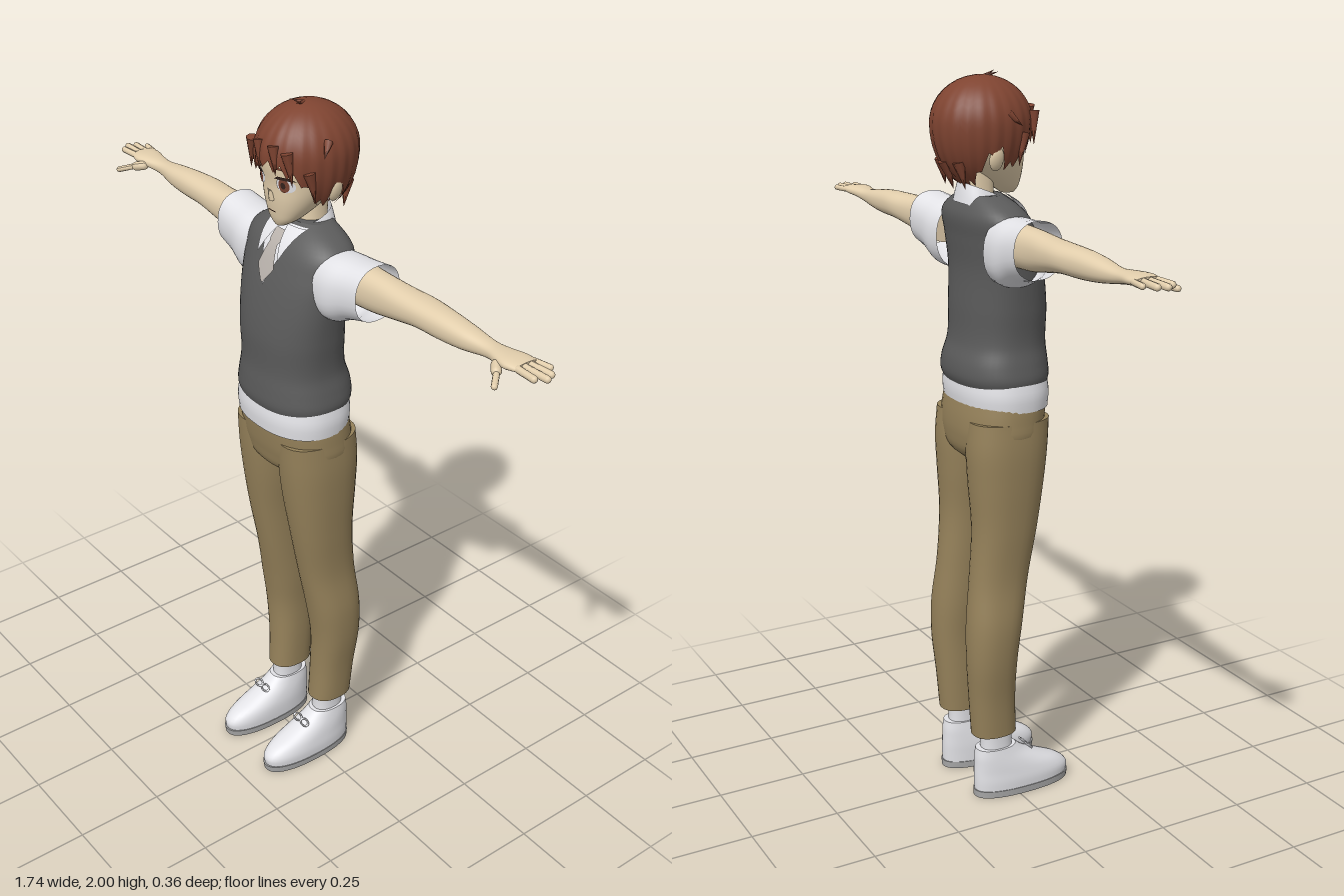
import * as THREE from 'three';

const mat = (name, color, side = THREE.FrontSide) => {
  const m = new THREE.MeshStandardMaterial({ color, side });
  m.name = name;
  return m;
};

// Body sections: [y, half width, front z, back z, centre x], smoothed along y
const POWER = 2.3;
function profile(sections) {
  const curve = new THREE.CubicInterpolant(sections.map(s => s[0]),
    sections.flatMap(s => [s[1], s[2], s[3], s[4] || 0]), 4);
  return {
    y0: sections[0][0], y1: sections[sections.length - 1][0],
    at: y => Array.from(curve.evaluate(y)),
    front(x, y) {
      const [rx, zf, zb, cx] = this.at(y);
      const u = Math.min(1, Math.abs((x - cx) / rx));
      return (zf + zb) / 2 + (zf - zb) / 2 * Math.pow(1 - Math.pow(u, POWER), 1 / POWER);
    },
  };
}

function indexed(pos, idx) {
  const g = new THREE.BufferGeometry();
  g.setAttribute('position', new THREE.Float32BufferAttribute(pos, 3));
  g.setIndex(idx);
  g.computeVertexNormals();
  return g;
}

// Skin a profile with rounded rings, optionally closing both ends
function loft(p, rows = 24, caps = true, n = 32) {
  const pos = [], idx = [];
  const bend = v => Math.sign(v) * Math.pow(Math.abs(v), 2 / POWER);
  for (let i = 0; i <= rows; i++) {
    const y = p.y0 + (p.y1 - p.y0) * i / rows;
    const [rx, zf, zb, cx] = p.at(y);
    for (let j = 0; j < n; j++) {
      const a = j / n * Math.PI * 2;
      pos.push(cx + rx * bend(Math.sin(a)), y, (zf + zb) / 2 + (zf - zb) / 2 * bend(Math.cos(a)));
      if (i < rows) {
        const k = i * n, j2 = (j + 1) % n;
        idx.push(k + j, k + j2, k + n + j2, k + j, k + n + j2, k + n + j);
      }
    }
  }
  if (caps) for (const [row, y] of [[0, p.y0], [rows, p.y1]]) {
    const [, zf, zb, cx] = p.at(y), base = pos.length / 3;
    pos.push(cx, y, (zf + zb) / 2);
    const ring = pos.slice(row * n * 3, (row + 1) * n * 3);
    pos.push(...ring);
    for (let j = 0; j < n; j++) {
      const a = base + 1 + j, b = base + 1 + (j + 1) % n;
      idx.push(base, ...(row ? [a, b] : [b, a]));
    }
  }
  return indexed(pos, idx);
}

// Thin patch lying on the front of a profile, between two side edges
function patch(p, off, y0, y1, xa, xb, n = 10) {
  const pos = [], idx = [];
  for (let i = 0; i <= n; i++) for (let j = 0; j <= n; j++) {
    const t = i / n, y = y0 + (y1 - y0) * t, x = xa(t) + (xb(t) - xa(t)) * j / n;
    pos.push(x, y, p.front(x, y) + off);
    if (i < n && j < n) {
      const k = i * (n + 1) + j;
      idx.push(k, k + 1, k + n + 2, k, k + n + 2, k + n + 1);
    }
  }
  return indexed(pos, idx);
}
const oval = (p, off, x, y, rx, ry) => {
  const w = t => rx * Math.sqrt(Math.max(0, 1 - (2 * t - 1) ** 2));
  return patch(p, off, y - ry, y + ry, t => x - w(t), t => x + w(t));
};

function mirrored(g) {
  const m = g.clone().scale(-1, 1, 1);
  const a = m.index.array;
  for (let i = 0; i < a.length; i += 3) [a[i], a[i + 1]] = [a[i + 1], a[i]];
  m.computeVertexNormals();
  return m;
}

// Capsule or cone laid from one point to another
function between(geo, a, b) {
  const A = new THREE.Vector3(...a), B = new THREE.Vector3(...b);
  const q = new THREE.Quaternion().setFromUnitVectors(new THREE.Vector3(0, 1, 0), B.clone().sub(A).normalize());
  const c = A.add(B).multiplyScalar(0.5);
  return geo.applyQuaternion(q).translate(c.x, c.y, c.z);
}
const dist = (a, b) => Math.hypot(a[0] - b[0], a[1] - b[1], a[2] - b[2]);

// Hair shell with a jagged lower edge that clears the face and ears
function hairShell() {
  const edge = new THREE.LinearInterpolant([0, 0.5, 0.9, 1.2, 1.42, 1.58, 1.85, 2.2, 3.15],
    [1.872, 1.852, 1.825, 1.775, 1.77, 1.815, 1.80, 1.745, 1.72], 1);
  const cols = 132, rows = 16, pos = [], idx = [];
  for (let i = 0; i <= rows; i++) for (let j = 0; j < cols; j++) {
    const a = j / cols * Math.PI * 2, s = Math.min(a, Math.PI * 2 - a);
    const tooth = Math.abs(((j / 6) % 1) * 2 - 1);
    const yEnd = edge.evaluate(s)[0] - 0.022 * tooth + 0.008 * Math.sin(a * 3);
    const c = yEnd - 1.87;
    const phi = Math.acos(Math.max(-0.95, c / (c > 0 ? 0.12 : 0.17))) * i / rows;
    const h = Math.cos(phi), r = Math.sin(phi) * (1 + 0.03 * (tooth - 0.5) * i / rows);
    pos.push(0.123 * r * Math.sin(a), 1.87 + h * (h > 0 ? 0.12 : 0.17), -0.04 + 0.135 * r * Math.cos(a));
    if (i < rows) {
      const k = i * cols, j2 = (j + 1) % cols;
      idx.push(k + j, k + cols + j, k + cols + j2, k + j, k + cols + j2, k + j2);
    }
  }
  return indexed(pos, idx);
}

export function createModel() {
  const D = THREE.DoubleSide;
  const skin = mat('skin', 0xe2ceac), hair = mat('hair', 0x7f4431, D), vest = mat('vest', 0x5b5b5b),
    shirt = mat('white cloth', 0xe9e9ed, D), trousers = mat('trousers', 0x95815a), tie = mat('tie', 0xb9b2ac, D),
    sole = mat('sole', 0xa8a8a8), iris = mat('iris', 0x7a4432, D), dark = mat('lashes', 0x35231d, D);
  const model = new THREE.Group();
  model.name = 'student';
  const add = (name, geo, m) => {
    const mesh = new THREE.Mesh(geo, m);
    mesh.name = name;
    model.add(mesh);
  };
  const pair = (name, geo, m) => {
    add('left ' + name, geo, m);
    add('right ' + name, mirrored(geo), m);
  };

  // Torso: vest, shirt hem, V-neck, tie and collar
  const torso = profile([[1.19, .16, .122, -.122], [1.21, .166, .128, -.131], [1.25, .16, .127, -.13],
    [1.3, .149, .122, -.115], [1.4, .155, .121, -.108], [1.5, .165, .105, -.102], [1.58, .172, .082, -.108],
    [1.64, .168, .055, -.112], [1.67, .125, .03, -.1], [1.69, .075, .005, -.09]]);
  add('vest', loft(torso, 50, true, 48), vest);
  const hem = loft(profile([[1.13, .168, .124, -.12], [1.17, .17, .127, -.125], [1.21, .163, .122, -.122]]), 6, true, 48);
  add('shirt hem', hem, shirt);
  add('shirt front', patch(torso, .004, 1.535, 1.685, t => -.064 * t, t => .064 * t, 16), shirt);
  const tieWidth = t => t < .8 ? .004 + .028 * Math.min(1, t / .3) - .018 * Math.max(0, t - .3) / .5 : .02;
  add('tie', patch(torso, .009, 1.545, 1.672, t => -tieWidth(t), tieWidth, 16), tie);
  pair('collar flap', patch(torso, .014, 1.61, 1.685, t => .04 - .03 * t, t => .042 + .026 * t), shirt);
  const collar = loft(profile([[1.645, .076, .03, -.11], [1.67, .068, .02, -.106], [1.70, .056, .008, -.1]]), 6, false);
  const cp = collar.attributes.position;
  for (let i = 0; i < cp.count; i++) cp.setY(i, cp.getY(i) - (cp.getZ(i) + .045) * .4);
  collar.computeVertexNormals();
  add('collar', collar, shirt);

  // Trousers
  add('hips', loft(profile([[.97, .05, .04, -.08], [1.0, .125, .088, -.115], [1.05, .168, .106, -.128],
    [1.1, .17, .114, -.128], [1.16, .165, .119, -.119]]), 16, true, 40), trousers);
  pair('trouser leg', loft(profile([[.19, .05, .007, -.122, .097], [.3, .054, .002, -.13, .1], [.42, .061, .004, -.139, .107],
    [.52, .066, .018, -.138, .105], [.65, .062, .042, -.125, .096], [.8, .069, .07, -.115, .095],
    [.93, .08, .09, -.122, .091], [1.02, .083, .1, -.126, .09], [1.1, .078, .105, -.12, .09]]), 40), trousers);

  // Socks and shoes
  pair('sock', loft(profile([[.1, .034, 0, -.098, .098], [.16, .033, -.004, -.095, .097], [.23, .036, 0, -.1, .097]]), 6), shirt);
  pair('shoe', loft(profile([[.018, .054, .175, -.116, .099], [.045, .055, .176, -.117, .099], [.07, .053, .148, -.117, .098],
    [.095, .049, .092, -.116, .098], [.12, .044, .04, -.115, .098], [.145, .039, .008, -.111, .098]]), 16, true, 40), shirt);
  pair('sole', loft(profile([[0, .055, .177, -.118, .099], [.02, .056, .18, -.119, .099]]), 2, true, 40), sole);
  for (const s of [-1, 1]) {
    pair('lace loop', new THREE.TorusGeometry(.012, .003, 6, 14).scale(1.3, .8, 1)
      .rotateX(-.9).translate(.098 + s * .016, .124, .047), shirt);
  }

  // Sleeves and arms, built upright and laid along x
  const sideways = g => g.rotateZ(-Math.PI / 2);
  pair('sleeve', sideways(loft(profile([[.13, .088, .05, -.105, -1.558], [.18, .09, .052, -.11, -1.56],
    [.23, .079, .042, -.107, -1.573], [.29, .074, .034, -.106, -1.584]]), 12, false)), shirt);
  pair('arm', sideways(loft(profile([[.2, .056, .008, -.092, -1.585], [.3, .052, 0, -.086, -1.586], [.38, .043, -.003, -.09, -1.59],
    [.45, .037, -.006, -.094, -1.594], [.53, .035, -.01, -.088, -1.593], [.6, .029, -.016, -.083, -1.592],
    [.68, .018, -.027, -.076, -1.593], [.72, .016, -.016, -.08, -1.597], [.76, .014, -.008, -.088, -1.6],
    [.79, .01, -.016, -.086, -1.601]]), 40)), skin);
  const fingers = [
    [[.77, 1.6, -.08], [.832, 1.6, -.09], .008], [[.78, 1.601, -.062], [.858, 1.6, -.068], .009],
    [[.78, 1.601, -.043], [.868, 1.6, -.046], .009], [[.78, 1.601, -.025], [.85, 1.6, -.022], .009],
    [[.72, 1.592, -.025], [.755, 1.583, .008], .013], [[.75, 1.585, .002], [.785, 1.572, .042], .008]];
  fingers.forEach(([a, b, r], i) => pair(i < 4 ? 'finger' : 'thumb',
    between(new THREE.CapsuleGeometry(r, dist(a, b) - 2 * r, 5, 10), a, b), skin));

  // Head and neck
  const head = profile([[1.687, .016, .054, .02], [1.70, .036, .06, 0], [1.725, .058, .065, -.04], [1.76, .08, .069, -.09],
    [1.8, .096, .07, -.13], [1.85, .102, .075, -.145], [1.9, .098, .07, -.145], [1.95, .068, .035, -.11], [1.972, .03, 0, -.07]]);
  add('neck', loft(profile([[1.62, .05, 0, -.1], [1.68, .044, -.01, -.093], [1.76, .044, -.01, -.095]]), 6), skin);
  add('head', loft(head, 36, true, 40), skin);
  add('nose', new THREE.ConeGeometry(.011, .036, 8).rotateX(.45).translate(0, 1.777, .073), skin);
  pair('ear', new THREE.SphereGeometry(1, 14, 10).scale(.012, .032, .02).rotateZ(-.25).translate(.102, 1.788, -.05), skin);

  // Face details
  pair('eye white', oval(head, .002, .047, 1.808, .024, .02), shirt);
  pair('iris', oval(head, .004, .046, 1.808, .014, .019), iris);
  pair('pupil', oval(head, .006, .046, 1.808, .006, .009), dark);
  pair('upper lash', patch(head, .006, 1.823, 1.831, t => .022 + .012 * t, t => .076 - .014 * t), dark);
  pair('eyebrow', patch(head, .004, 1.847, 1.853, t => .022 + .006 * t, t => .074 - .004 * t), iris);
  add('mouth', patch(head, .003, 1.728, 1.731, () => -.014, () => .014), iris);

  // Hair with loose locks
  add('hair', hairShell(), hair);
  const locks = [
    [[0, 1.985, -.03], [.022, 1.998, .012], .006], [[0, 1.985, -.03], [-.02, 1.996, .0], .006],
    [[.11, 1.92, -.02], [.134, 1.89, .01], .012], [[-.11, 1.9, -.02], [-.13, 1.87, .01], .012],
    [[.1, 1.85, .03], [.106, 1.765, .012], .016], [[-.1, 1.85, .03], [-.106, 1.765, .012], .016],
    [[.07, 1.9, .075], [.085, 1.815, .068], .016], [[-.07, 1.9, .075], [-.085, 1.815, .068], .016],
    [[.03, 1.91, .085], [.045, 1.838, .09], .015], [[-.03, 1.91, .085], [-.015, 1.838, .093], .015],
    [[.05, 1.78, -.13], [.055, 1.71, -.115], .018], [[-.05, 1.78, -.13], [-.055, 1.71, -.115], .018],
    [[0, 1.78, -.145], [0, 1.705, -.12], .02]];
  for (const [a, b, r] of locks) add('hair lock', between(new THREE.ConeGeometry(r, dist(a, b), 7), a, b), hair);

  return model;
}
